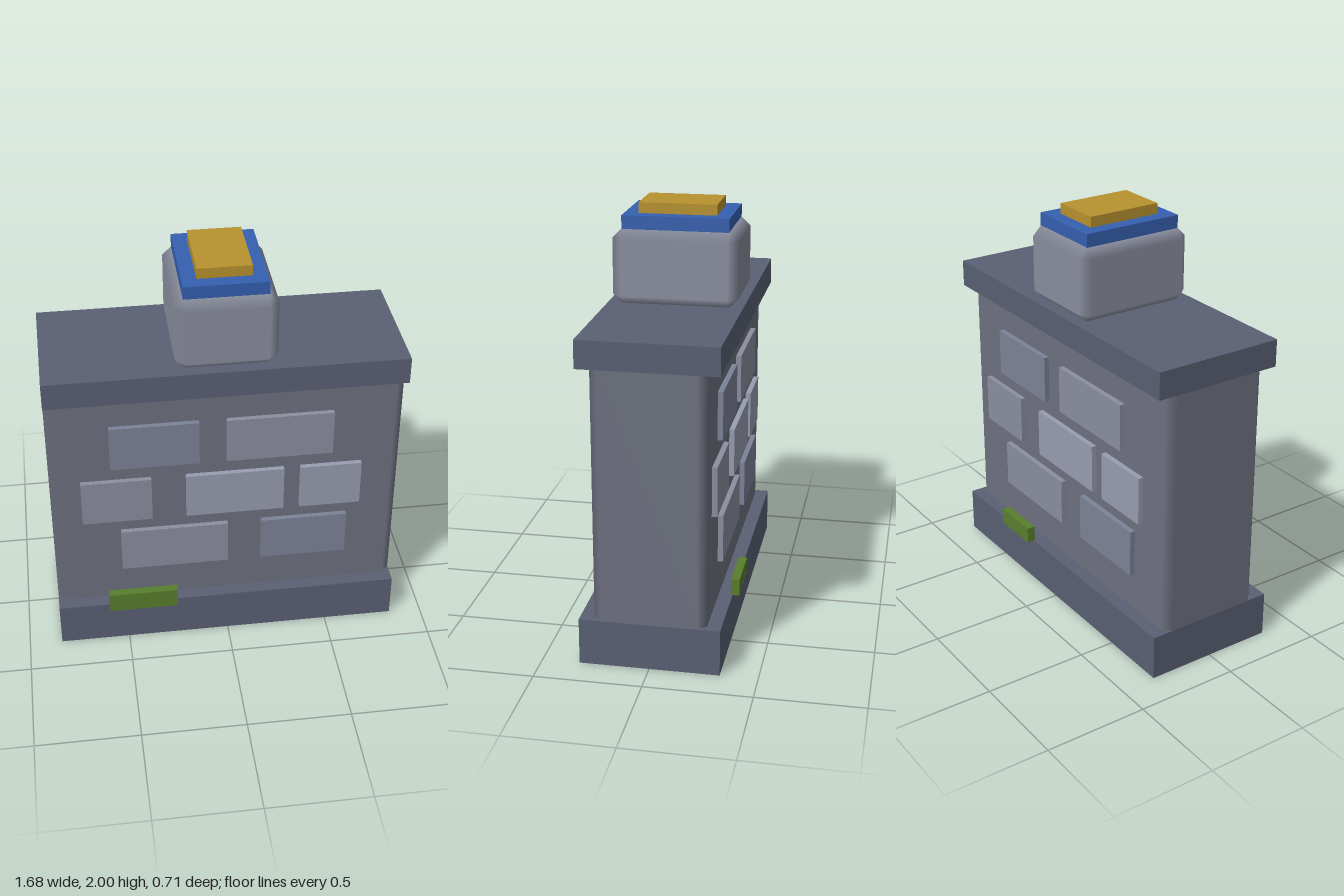
import * as THREE from 'three';
import { ConvexGeometry } from 'three/addons/geometries/ConvexGeometry.js';

const material = (color) => new THREE.MeshStandardMaterial({ color });
const darkStone = material(0x5a6074);
const wallStone = material(0x6e7280);
const capStone = material(0x8a8e9e);
const blue = material(0x3560b0);
const gold = material(0xb8922e);
const moss = material(0x587f2c);
const brickStones = [0x7d8398, 0x8b8f9f, 0x989db0].map(material);

// Box given by its limits on each axis
function block(name, mat, [x0, x1], [y0, y1], [z0, z1]) {
  const mesh = new THREE.Mesh(new THREE.BoxGeometry(x1 - x0, y1 - y0, z1 - z0), mat);
  mesh.position.set((x0 + x1) / 2, (y0 + y1) / 2, (z0 + z1) / 2);
  mesh.name = name;
  return mesh;
}

// Box with chamfered edges: flat main faces, softly shaded chamfers
function chamferBox(name, mat, size, bevel, centreY) {
  const half = size.map((s) => s / 2);
  const points = [];
  for (let axis = 0; axis < 3; axis++)
    for (const sx of [-1, 1]) for (const sy of [-1, 1]) for (const sz of [-1, 1]) {
      const p = [sx, sy, sz].map((s, i) => s * (half[i] - (i === axis ? 0 : bevel)));
      points.push(new THREE.Vector3(...p));
    }
  const geometry = new ConvexGeometry(points);
  const pos = geometry.attributes.position;
  const normal = geometry.attributes.normal;
  // Every corner lies on exactly one main face and takes its normal
  for (let i = 0; i < pos.count; i++) {
    const p = [pos.getX(i), pos.getY(i), pos.getZ(i)];
    normal.setXYZ(i, ...p.map((v, a) => (Math.abs(v) > half[a] - bevel / 2 ? Math.sign(v) : 0)));
  }
  const mesh = new THREE.Mesh(geometry, mat);
  mesh.position.y = centreY;
  mesh.name = name;
  return mesh;
}

// Raised bricks of one face: [x0, x1, stone shade] per row
const brickRows = [
  { y: [1.02, 1.25], bricks: [[-0.55, -0.13, 0], [0, 0.505, 1]] },
  { y: [0.71, 0.945], bricks: [[-0.695, -0.36, 1], [-0.195, 0.275, 2], [0.355, 0.65, 2]] },
  { y: [0.41, 0.64], bricks: [[-0.515, 0.005, 1], [0.17, 0.59, 0]] },
];

function brickFace(name) {
  const face = new THREE.Group();
  face.name = name;
  for (const { y, bricks } of brickRows)
    for (const [x0, x1, shade] of bricks)
      face.add(block('brick', brickStones[shade], [x0, x1], y, [0.23, 0.285]));
  return face;
}

export function createModel() {
  const model = new THREE.Group();
  model.name = 'stoneWall';

  // Wall between base and coping; its end chamfers are buried in both
  model.add(block('base', darkStone, [-0.84, 0.84], [0, 0.22], [-0.325, 0.325]));
  model.add(chamferBox('wall', wallStone, [1.68, 1.27, 0.52], 0.04, 0.815));
  model.add(block('coping', darkStone, [-0.84, 0.84], [1.41, 1.54], [-0.318, 0.318]));

  // The same brickwork on both faces, turned half round for the back
  const back = brickFace('backBricks');
  back.rotation.y = Math.PI;
  model.add(brickFace('frontBricks'), back);

  // Moss patches along the base
  model.add(block('frontMoss', moss, [-0.59, -0.255], [0.205, 0.305], [0.317, 0.358]));
  model.add(block('backMoss', moss, [0.21, 0.46], [0.215, 0.297], [-0.356, -0.315]));

  // Capstone with stepped coloured top
  model.add(chamferBox('capstone', capStone, [0.47, 0.355, 0.588], 0.045, 1.7125));
  model.add(block('bluePlate', blue, [-0.193, 0.193], [1.885, 1.95], [-0.25, 0.25]));
  model.add(block('goldPlate', gold, [-0.125, 0.125], [1.945, 2], [-0.183, 0.183]));

  return model;
}
